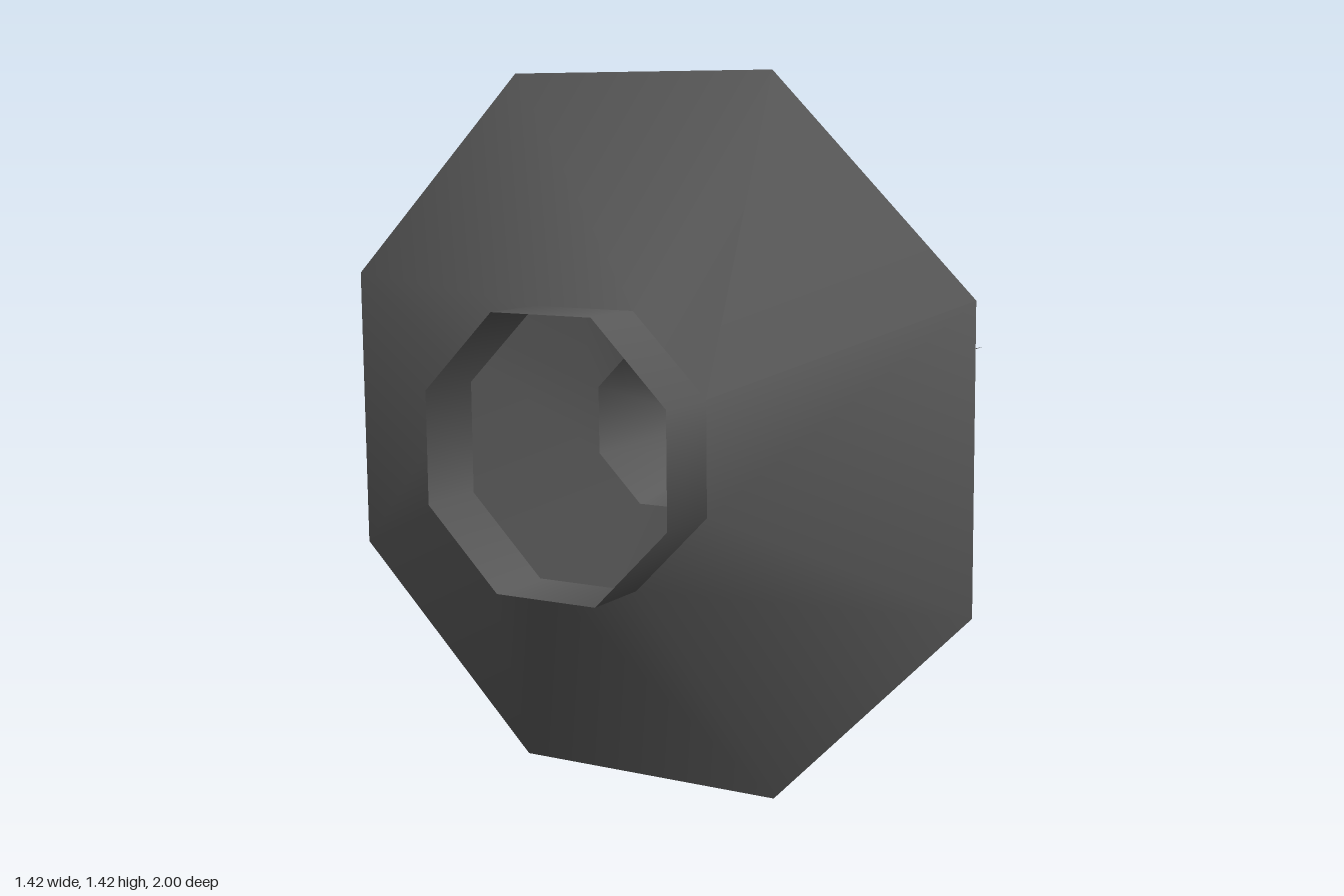
import * as THREE from 'three';

const CENTER_Y = 0.71;
const SIDES = 8;

export function createModel() {
  const group = new THREE.Group();
  const grey = new THREE.MeshStandardMaterial({ color: 0x5a5a5a, side: THREE.DoubleSide });
  grey.name = 'dark grey';

  // Octagonal shell section between two [flat radius, z] rings, listed back to front
  function shell(name, back, front) {
    const points = [back, front].map(([r, z]) => new THREE.Vector2(r / Math.cos(Math.PI / SIDES), z));
    const geo = new THREE.LatheGeometry(points, SIDES, Math.PI / SIDES);
    geo.rotateX(Math.PI / 2);
    const mesh = new THREE.Mesh(geo, grey);
    mesh.name = name;
    mesh.position.y = CENTER_Y;
    group.add(mesh);
  }

  // Hollow body, open at the front
  shell('rearTip', [0, 0.148], [0.106, 0.2]);
  shell('rearHousing', [0.106, 0.2], [0.168, 0.56]);
  shell('dishBack', [0.168, 0.56], [0.71, 0.655]);
  shell('dishFront', [0.71, 0.655], [0.266, 0.86]);
  shell('frontCollar', [0.266, 0.86], [0.266, 1]);

  // Flat tapering needles: one stands upright, the other lies level
  function needle(name, x, roll) {
    const shape = new THREE.Shape([
      new THREE.Vector2(-0.027, -0.19),
      new THREE.Vector2(0.027, -0.19),
      new THREE.Vector2(0, 1),
    ]);
    const geo = new THREE.ShapeGeometry(shape);
    geo.rotateX(-Math.PI / 2);
    geo.rotateZ(roll);
    const mesh = new THREE.Mesh(geo, grey);
    mesh.name = name;
    mesh.position.set(x, CENTER_Y + 0.005, 0);
    group.add(mesh);
  }
  needle('uprightNeedle', 0.06, Math.PI / 2);
  needle('levelNeedle', -0.067, 0);

  return group;
}
